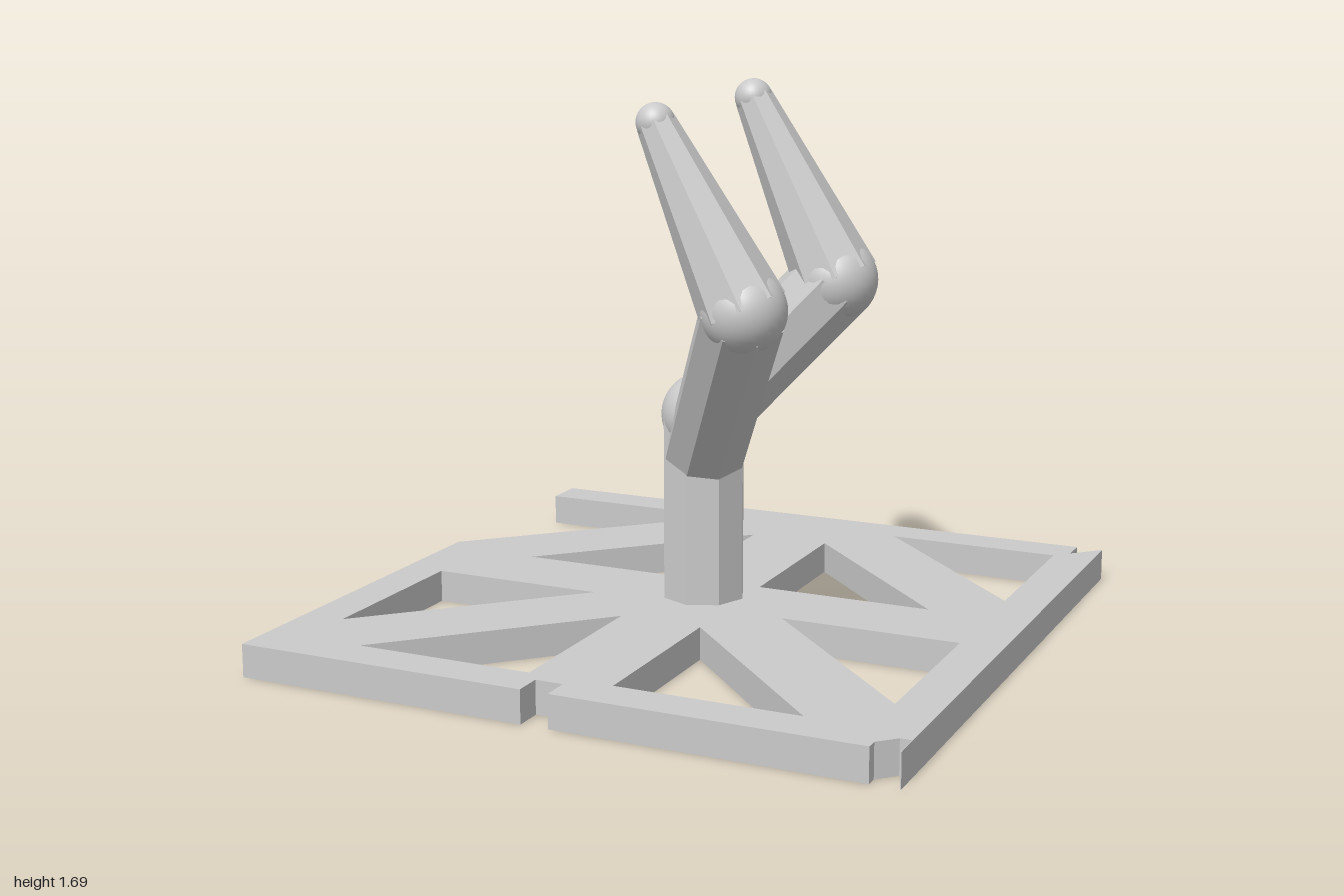
import * as THREE from 'three';

const grey = new THREE.MeshStandardMaterial({ color: 0xcacaca });
grey.name = 'plain grey';

function addMesh(group, name, geometry) {
  const mesh = new THREE.Mesh(geometry, grey);
  mesh.name = name;
  group.add(mesh);
  return mesh;
}

// Eight-sided, optionally tapered rod between two points
function addRod(group, name, from, to, r1, r2, roll = 0) {
  const a = new THREE.Vector3(...from);
  const dir = new THREE.Vector3(...to).sub(a);
  const length = dir.length();
  const geometry = new THREE.CylinderGeometry(r2, r1, length, 8).toNonIndexed();
  geometry.computeVertexNormals();
  geometry.rotateY(roll).translate(0, length / 2, 0);
  const mesh = addMesh(group, name, geometry);
  mesh.position.copy(a);
  mesh.quaternion.setFromUnitVectors(new THREE.Vector3(0, 1, 0), dir.normalize());
}

// Smooth ball that rounds a joint or an end
function addBall(group, name, at, radius) {
  addMesh(group, name, new THREE.SphereGeometry(radius, 32, 20)).position.set(...at);
}

// Plan outlines are given as x, z
const plan = (points) => points.map(([x, z]) => new THREE.Vector2(x, -z));

function addBasePlate(group) {
  // Square frame with notches, one open corner bay and a thin wall closing the front corner
  const shape = new THREE.Shape(plan([
    [-1, -1], [0.915, -1], [0.915, -0.915], [1, -1],
    [1, 1], [0.997, 1], [0.997, 0.915], [0.965, 0.915], [0.915, 0.965], [0.915, 1],
    [0, 1], [0, 0.915], [-0.085, 0.915], [-0.085, 1],
    [-1, 1], [-1, -0.19], [-0.315, -0.87], [-1, -0.87],
  ]).reverse());
  // Triangular openings between the ribs
  const holes = [
    [[0.315, -0.87], [0.87, -0.87], [0.87, -0.315]],
    [[-0.87, 0.13], [-0.315, 0.13], [-0.87, 0.685]],
    [[0.315, 0.13], [0.87, 0.13], [0.87, 0.685]],
    [[0.13, -0.69], [0.685, -0.135], [0.13, -0.135]],
    [[-0.13, -0.69], [-0.13, -0.135], [-0.685, -0.135]],
    [[0.13, 0.31], [0.685, 0.87], [0.13, 0.87]],
    [[-0.13, 0.31], [-0.13, 0.87], [-0.685, 0.87]],
  ];
  for (const h of holes) shape.holes.push(new THREE.Path(plan(h)));
  const geometry = new THREE.ExtrudeGeometry(shape, { depth: 0.1, bevelEnabled: false });
  addMesh(group, 'basePlate', geometry.rotateX(-Math.PI / 2));
}

export function createModel() {
  const group = new THREE.Group();
  group.name = 'forkedStand';
  addBasePlate(group);

  // Post, rounded off where the back arm leaves it
  addRod(group, 'post', [0, 0.05, 0], [0, 0.67, 0], 0.13, 0.13);
  addBall(group, 'postTop', [0, 0.67, 0], 0.13);

  // Two arms, each carrying an upright tapered prong
  const arms = [
    { side: 'back', root: [0, 0.67, 0], elbow: [0.4, 1.1, -0.07], tip: [0.13, 1.63, -0.07] },
    { side: 'front', root: [0, 0.54, 0], elbow: [0.31, 1.07, 0.41], tip: [0.04, 1.585, 0.41] },
  ];
  for (const { side, root, elbow, tip } of arms) {
    addRod(group, side + 'Arm', root, elbow, 0.126, 0.126);
    addBall(group, side + 'Elbow', elbow, 0.124);
    addRod(group, side + 'Prong', elbow, tip, 0.128, 0.057, Math.PI / 8);
    addBall(group, side + 'Tip', tip, 0.056);
  }
  return group;
}
